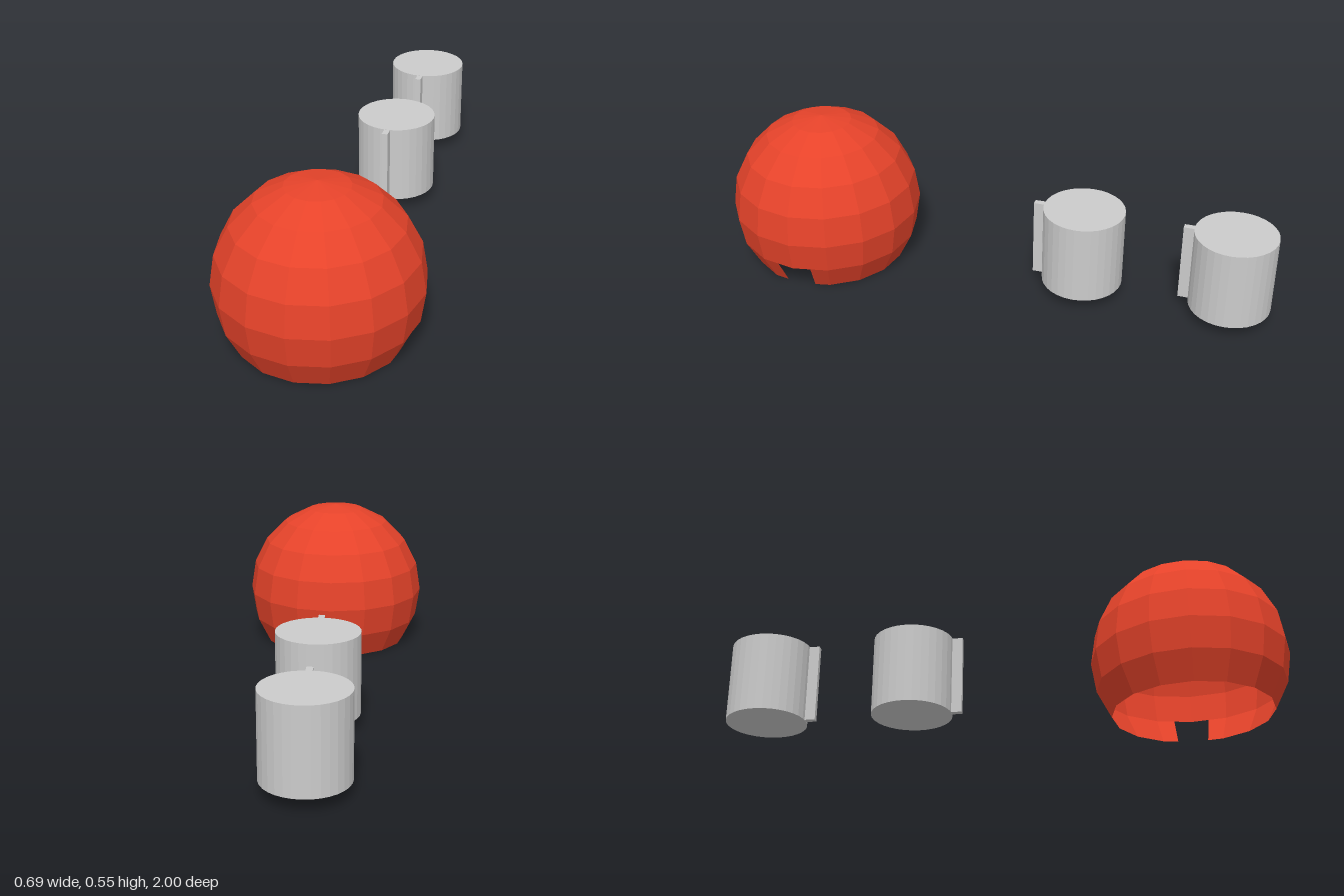
import * as THREE from 'three';

const SIDES = 16, STEP = Math.PI / 10;            // facets around, angle between rings
const RX = 0.344, RY = 0.347, CY = 0.204, CZ = 0.656;

// Point on a dome ring; odd half-steps lie midway along a facet edge
function ringPoint(ring, half) {
  const at = (k) => {
    const a = (k * Math.PI) / SIDES, r = RX * Math.sin(ring * STEP);
    return new THREE.Vector3(r * Math.cos(a), RY * Math.cos(ring * STEP), r * Math.sin(a));
  };
  return half % 2 ? at(half - 1).lerp(at(half + 1), 0.5) : at(half);
}

// Lowest band of the dome, leaving out the two half-facets beside +x as the doorway
function bandGeometry(topRing) {
  const pos = [];
  for (let h = 1; h < SIDES * 2 - 1; h++) {
    const a = ringPoint(topRing, h), b = ringPoint(topRing, h + 1);
    const c = ringPoint(topRing + 1, h), d = ringPoint(topRing + 1, h + 1);
    for (const p of [a, b, c, b, d, c]) pos.push(p.x, p.y, p.z);
  }
  const geo = new THREE.BufferGeometry();
  geo.setAttribute('position', new THREE.Float32BufferAttribute(pos, 3));
  geo.computeVertexNormals();
  return geo;
}

export function createModel() {
  const model = new THREE.Group();
  const red = new THREE.MeshStandardMaterial({ color: 0xe6432a, flatShading: true, side: THREE.DoubleSide });
  const grey = new THREE.MeshStandardMaterial({ color: 0xcccccc, flatShading: true });

  const add = (parent, name, geo, mat, x, y, z) => {
    const mesh = new THREE.Mesh(geo, mat);
    mesh.name = name;
    mesh.position.set(x, y, z);
    parent.add(mesh);
    return mesh;
  };

  // Hollow dome, open underneath, with a doorway in its left side
  const dome = new THREE.Group();
  dome.name = 'dome';
  dome.position.set(0, CY, CZ);
  const shell = new THREE.SphereGeometry(RX, SIDES, 6, 0, Math.PI * 2, 0, STEP * 6);
  shell.scale(1, RY / RX, 1);
  add(dome, 'domeShell', shell, red, 0, 0, 0);
  add(dome, 'doorBand', bandGeometry(6), red, 0, 0, 0);
  model.add(dome);

  // Two drums in a row behind the dome, each with an upright rib on its front
  [-0.326, -0.856].forEach((z, i) => {
    const drum = new THREE.Group();
    drum.name = i ? 'rearDrum' : 'frontDrum';
    drum.position.set(0, 0.19, z);
    add(drum, 'drumBody', new THREE.CylinderGeometry(0.144, 0.144, 0.288, 32), grey, 0, 0, 0);
    add(drum, 'drumRib', new THREE.BoxGeometry(0.022, 0.286, 0.06), grey, 0, 0, 0.15);
    model.add(drum);
  });

  return model;
}
